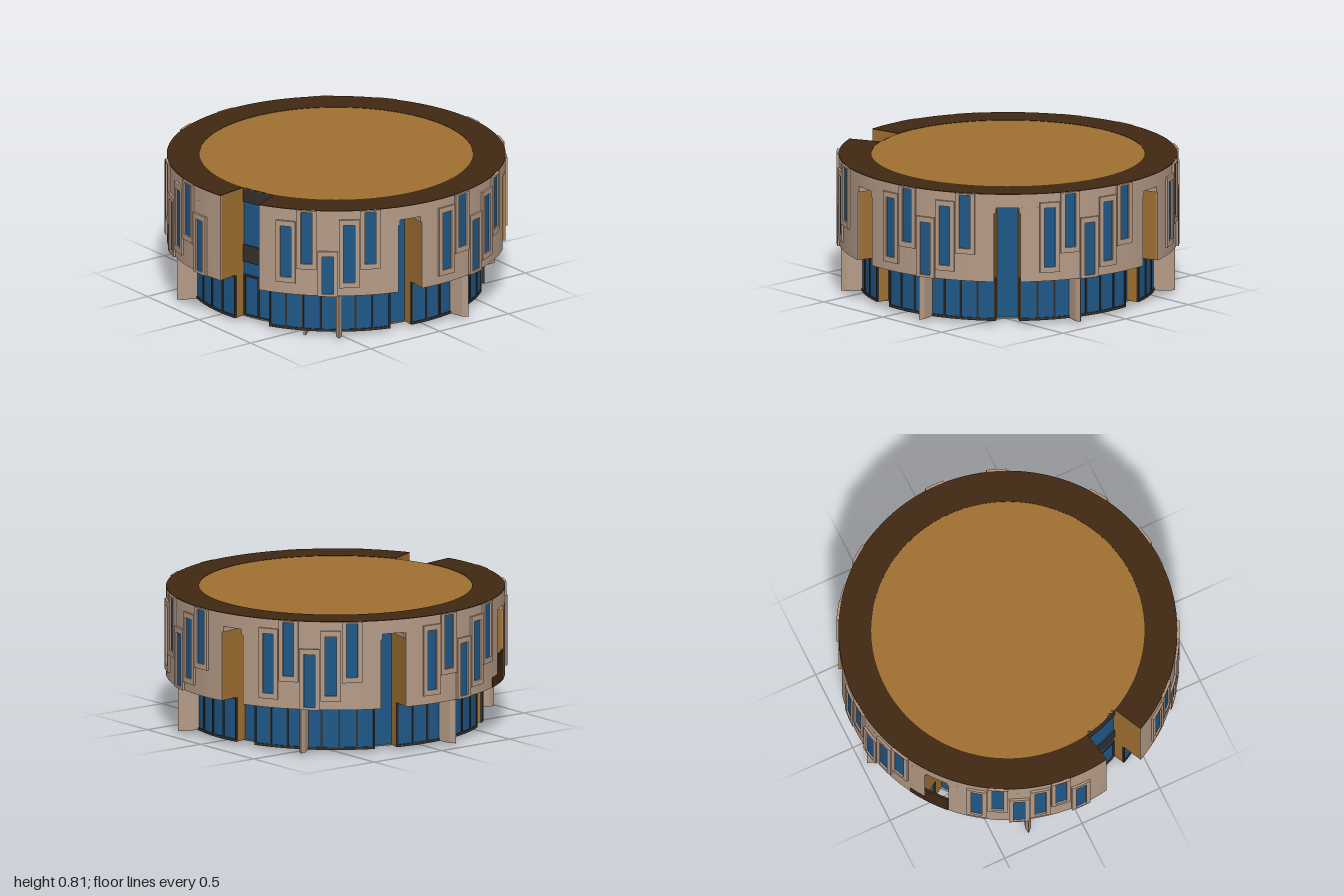
import * as THREE from 'three';
import { toCreasedNormals } from 'three/addons/utils/BufferGeometryUtils.js';

const mat = (color) => new THREE.MeshStandardMaterial({ color });
const M = {
  wall: mat(0xb59b87), gold: mat(0xa07030), dark: mat(0x402812),
  glass: mat(0x1f5888), frame: mat(0x35302c),
};
const D = Math.PI / 180;
const STEP = 57.6, HALF = 4.5, SLOT = 79;

// Ring segment; angles in degrees from the front (+z) towards +x.
function arc(r0, r1, a0, a1, y0, y1) {
  const s = new THREE.Shape();
  const n = Math.max(1, Math.ceil((a1 - a0) / 3));
  const pt = (r, i) => {
    const a = (a0 + (a1 - a0) * i / n) * D;
    return [r * Math.sin(a), -r * Math.cos(a)];
  };
  s.moveTo(...pt(r0, 0));
  for (let i = 0; i <= n; i++) s.lineTo(...pt(r1, i));
  for (let i = n; i > 0; i--) s.lineTo(...pt(r0, i));
  s.closePath();
  const g = new THREE.ExtrudeGeometry(s, { depth: y1 - y0, bevelEnabled: false });
  g.rotateX(-Math.PI / 2).translate(0, y0, 0);
  return toCreasedNormals(g, 0.3);
}

function add(parent, name, geometry, material) {
  const m = new THREE.Mesh(geometry, material);
  m.name = name;
  parent.add(m);
  return m;
}

function group(parent, name) {
  const g = new THREE.Group();
  g.name = name;
  parent.add(g);
  return g;
}

// Raised window surround with a recessed pane.
function addWindow(parent, a, y0, y1) {
  const w = group(parent, 'window');
  const top = Math.min(y1 + 0.032, 0.81), bottom = Math.max(y0 - 0.032, 0.285);
  add(w, 'windowPane', arc(0.98, 0.989, a - 1.9, a + 1.9, y0, y1), M.glass);
  for (const s of [-1, 1]) {
    const e = [a + s * 1.9, a + s * 3.4].sort((p, q) => p - q);
    add(w, 'windowJamb', arc(0.98, 0.999, e[0], e[1], bottom, top), M.wall);
  }
  add(w, 'windowSill', arc(0.98, 0.999, a - 1.9, a + 1.9, bottom, y0), M.wall);
  add(w, 'windowHead', arc(0.98, 0.999, a - 1.9, a + 1.9, y1, top), M.wall);
}

// Upright fin with a pointed outer edge.
function addFin(parent, a) {
  const s = new THREE.Shape();
  s.moveTo(-0.017, 0.84);
  s.lineTo(0.017, 0.84);
  s.lineTo(0.017, 0.945);
  s.lineTo(0, 0.978);
  s.lineTo(-0.017, 0.945);
  s.closePath();
  const g = new THREE.ExtrudeGeometry(s, { depth: 0.265, bevelEnabled: false });
  g.rotateX(Math.PI / 2).translate(0, 0.285, 0);
  add(parent, 'fin', g, M.wall).rotation.y = a * D;
}

export function createModel() {
  const root = new THREE.Group();
  root.name = 'roundBuilding';

  // Glazed core with roof and floor discs
  const core = new THREE.CylinderGeometry(0.785, 0.785, 0.78, 96, 1, true);
  add(root, 'glazedCore', core.translate(0, 0.415, 0), M.glass);
  const roof = new THREE.CylinderGeometry(0.795, 0.795, 0.006, 96);
  add(root, 'roofDisc', roof.translate(0, 0.807, 0), M.gold);
  const floor = new THREE.CylinderGeometry(0.795, 0.795, 0.006, 96);
  add(root, 'floorDisc', floor.translate(0, 0.022, 0), M.wall);

  // Continuous top of the upper storey, open only at the entrance
  add(root, 'upperRingCore', arc(0.785, 0.98, 26, 370, 0.73, 0.808), M.gold);
  add(root, 'upperRingWall', arc(0.98, 0.986, 26, 370, 0.73, 0.808), M.wall);
  add(root, 'roofEdge', arc(0.795, 0.986, 26, 370, 0.808, 0.812), M.dark);

  // Six sectors separated by the entrance and five tall slots
  for (let k = 0; k < 6; k++) {
    const a0 = k === 0 ? 26 : SLOT + STEP * (k - 1) + HALF;
    const a1 = k === 5 ? 370 : SLOT + STEP * k - HALF;
    const sector = group(root, 'sector');
    add(sector, 'upperCore', arc(0.785, 0.98, a0, a1, 0.285, 0.73), M.gold);
    add(sector, 'upperWall', arc(0.98, 0.986, a0, a1, 0.285, 0.73), M.wall);
    add(sector, 'lowerCore', arc(0.785, 0.848, a0, a1, 0.02, 0.285), M.gold);
    add(sector, 'lowerGlazing', arc(0.848, 0.856, a0 + 0.3, a1 - 0.3, 0.02, 0.285), M.glass);
    for (const y of [0.02, 0.27])
      add(sector, 'glazingRail', arc(0.848, 0.862, a0, a1, y, y + 0.015), M.frame);
    const n = Math.round((a1 - a0) / 7.2);
    for (let i = 0; i <= n; i++) {
      const a = a0 + 0.35 + (a1 - a0 - 0.7) * i / n;
      add(sector, 'mullion', arc(0.848, 0.862, a - 0.35, a + 0.35, 0.035, 0.27), M.frame);
    }

    // Staggered windows in three heights
    const heights = [[0.37, 0.725], [0.48, 0.8], [0.3, 0.615]];
    for (let i = 0; i < (k === 5 ? 6 : 5); i++) {
      let [y0, y1] = heights[i % 3];
      if (k === 0 && i === 0) [y0, y1] = [0.39, 0.705];
      if (k === 0 && i === 2) y1 = 0.53;
      addWindow(sector, SLOT + STEP * (k - 1) + 14.4 + 7.2 * i, y0, y1);
    }
  }

  // Narrowed slot heads
  for (let k = 0; k < 5; k++) {
    const c = SLOT + STEP * k;
    add(root, 'slotHead', arc(0.785, 0.985, c - HALF, c - HALF + 0.6, 0.695, 0.73), M.wall);
    add(root, 'slotHead', arc(0.785, 0.985, c + HALF - 0.6, c + HALF, 0.695, 0.73), M.wall);
  }

  // Dark panel at the foot of the left front slot
  add(root, 'slotPanel', arc(0.975, 0.988, -55, -46.2, 0.285, 0.46), M.dark);
  add(root, 'slotPanelStep', arc(0.975, 0.988, -60.8, -55, 0.285, 0.345), M.dark);

  // Entrance: fascia, spandrel and door frames
  const entrance = group(root, 'entrance');
  add(entrance, 'fascia', arc(0.78, 0.795, 10, 26, 0.725, 0.81), M.frame);
  add(entrance, 'spandrel', arc(0.78, 0.795, 10, 26, 0.355, 0.46), M.frame);
  for (const y of [0.02, 0.265])
    add(entrance, 'doorRail', arc(0.78, 0.792, 10, 26, y, y + 0.012), M.frame);
  for (const a of [10.5, 18, 25.5])
    add(entrance, 'doorPost', arc(0.78, 0.792, a - 0.4, a + 0.4, 0.02, 0.27), M.frame);

  // Fins around the ground floor
  for (const a of [-18.5, 54, 104.8, 162.4, 220, 277.6]) addFin(root, a);

  // Thin beam below the floor
  const beam = new THREE.BoxGeometry(0.015, 0.02, 0.885).translate(0, 0.01, 0.4425);
  add(root, 'floorBeam', beam, M.wall).rotation.y = 41 * D;

  return root;
}
